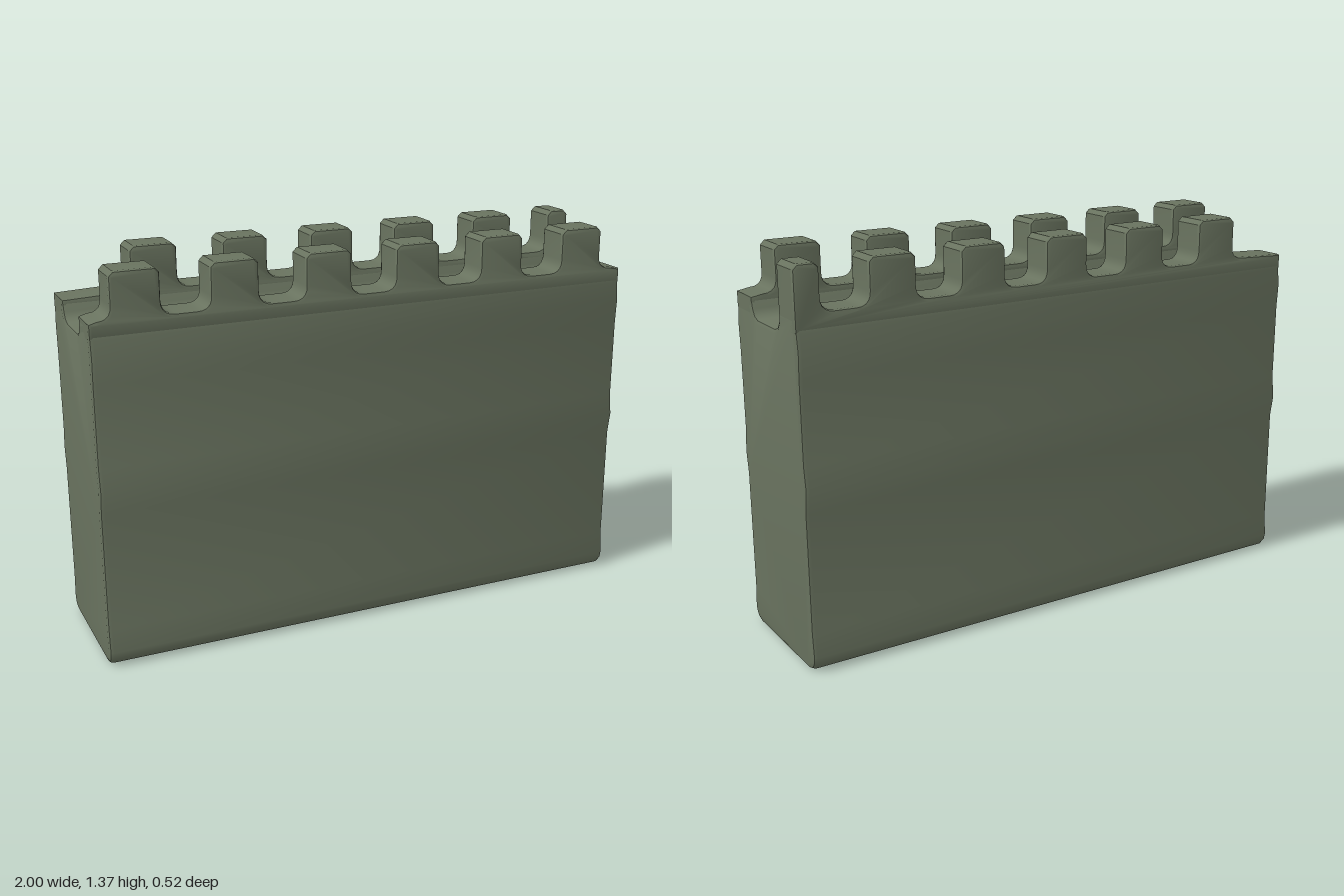
import * as THREE from 'three';
import { toCreasedNormals } from 'three/addons/utils/BufferGeometryUtils.js';

const stone = new THREE.MeshStandardMaterial({ color: 0x69735f });
stone.name = 'mossy grey stone';

// Extrudes a shape to an exact depth, with its edges bevelled inwards
function slab(shape, depth, bevel) {
  const g = new THREE.ExtrudeGeometry(shape, {
    depth: depth - 2 * bevel, curveSegments: 5,
    bevelEnabled: true, bevelThickness: bevel, bevelSize: bevel, bevelOffset: -bevel, bevelSegments: 2,
  });
  g.translate(0, 0, bevel - depth / 2);
  return g;
}

function part(name, geometry) {
  const mesh = new THREE.Mesh(toCreasedNormals(geometry, 0.75), stone);
  mesh.name = name;
  return mesh;
}

// Wall cross-section: slightly swollen sides, rounded foot and a sunken walkway
function wallBody() {
  const side = [
    [0.205, 0], [0.235, 0.008], [0.252, 0.03], [0.257, 0.055], [0.249, 0.14], [0.248, 0.56],
    [0.260, 0.64], [0.249, 0.72], [0.249, 1.0], [0.254, 1.09], [0.246, 1.15], [0.243, 1.19],
    [0.232, 1.204], [0.125, 1.204], [0.114, 1.19], [0.108, 1.165], [0.094, 1.145], [0.07, 1.136],
  ];
  const points = [...side, ...side.map(([z, y]) => [-z, y]).reverse()];
  const shape = new THREE.Shape(points.map(([z, y]) => new THREE.Vector2(z, y)));
  return slab(shape, 2, 0.015).rotateY(Math.PI / 2);
}

// Toothed parapet with filleted gaps; each merlon is a [start, end] pair along x
function parapet(merlons) {
  const base = 1.15, floor = 1.212, top = 1.366, r = 0.045, c = 0.016;
  const s = new THREE.Shape();
  s.moveTo(1, base);
  const last = merlons[merlons.length - 1][1];
  const reversed = [...merlons].reverse();
  if (last < 1) s.lineTo(1, floor - 0.008);
  for (const [a, b] of reversed) {
    if (b < 1) {
      s.lineTo(Math.min(b + r, 0.995), floor);
      s.quadraticCurveTo(b, floor, b, floor + r);
    }
    s.lineTo(b, top - c);
    s.lineTo(b - c, top);
    s.lineTo(a + c, top);
    s.lineTo(a, top - c);
    s.lineTo(a, floor + r);
    s.quadraticCurveTo(a, floor, a - r, floor);
  }
  s.lineTo(-1, floor - 0.008);
  s.lineTo(-1, base);
  s.closePath();
  return slab(s, 0.132, 0.012);
}

export function createModel() {
  const model = new THREE.Group();
  model.name = 'castleWall';
  model.add(part('wallBody', wallBody()));

  // Merlons of the two parapets are staggered by half a step
  const step = 0.334, width = 0.168;
  const row = (start) => Array.from({ length: 6 }, (_, i) => {
    const a = start + i * step;
    return [a, Math.min(a + width, 1)];
  });
  const front = part('frontParapet', parapet(row(-0.928)));
  front.position.z = 0.18;
  const back = part('backParapet', parapet(row(-0.76)));
  back.position.z = -0.18;
  model.add(front, back);
  return model;
}
